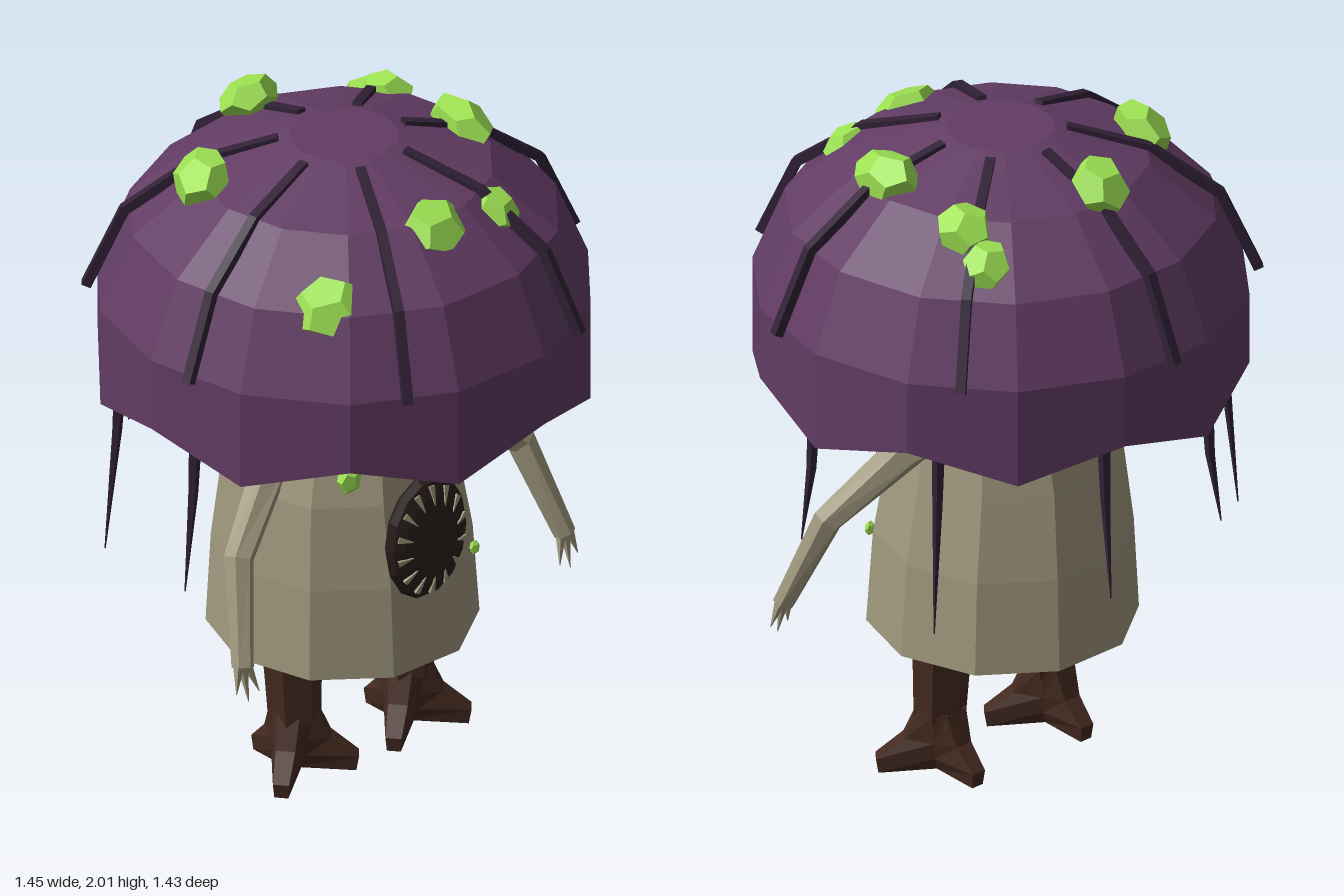
import * as THREE from 'three';

const V = (x, y, z) => new THREE.Vector3(x, y, z);
const mat = (name, color, side = THREE.FrontSide) => {
  const m = new THREE.MeshStandardMaterial({ color, flatShading: true, side });
  m.name = name;
  return m;
};

// Skin a stack of equal-sized rings; optionally close both ends
function loft(rings, closed = true) {
  const n = rings[0].length, pos = [];
  const tri = (...p) => p.forEach((q) => pos.push(q.x, q.y, q.z));
  const mid = (r) => r.reduce((s, p) => s.add(p), V(0, 0, 0)).divideScalar(n);
  const first = rings[0], last = rings[rings.length - 1];
  const c0 = mid(first), c1 = mid(last);
  for (let i = 0; i < n; i++) {
    const j = (i + 1) % n;
    for (let k = 0; k + 1 < rings.length; k++) {
      const a = rings[k], b = rings[k + 1];
      tri(a[i], b[i], a[j]);
      tri(a[j], b[i], b[j]);
    }
    if (closed) {
      tri(c0, first[i], first[j]);
      tri(c1, last[j], last[i]);
    }
  }
  const g = new THREE.BufferGeometry();
  g.setAttribute('position', new THREE.Float32BufferAttribute(pos, 3));
  g.computeVertexNormals();
  return g;
}

// Horizontal regular ring around (cx, cz)
const ring = (n, r, y, cx = 0, cz = 0) => Array.from({ length: n }, (_, i) => {
  const a = (i / n) * Math.PI * 2;
  return V(cx + r * Math.cos(a), typeof y === 'function' ? y(i) : y, cz + r * Math.sin(a));
});

// Tapered limb along a path
function limb(path, radii, sides, ref = V(0, 0, 1)) {
  return loft(path.map((p, k) => {
    const t = path[Math.min(k + 1, path.length - 1)].clone().sub(path[Math.max(k - 1, 0)]).normalize();
    const u = ref.clone().cross(t).normalize(), v = u.clone().cross(t);
    return Array.from({ length: sides }, (_, i) => {
      const a = ((i + 0.5) / sides) * Math.PI * 2;
      return p.clone().addScaledVector(u, radii[k] * Math.cos(a)).addScaledVector(v, radii[k] * Math.sin(a));
    });
  }));
}

export function createModel() {
  const model = new THREE.Group();
  model.name = 'mushroomCreature';
  const purple = mat('capPurple', 0x623c64, THREE.DoubleSide);
  const dark = mat('ribDark', 0x312136);
  const under = mat('underBlack', 0x1d1714, THREE.DoubleSide);
  const skin = mat('stemBeige', 0xa0987e);
  const green = mat('crystalGreen', 0x9de252);
  const brown = mat('legBrown', 0x442a20);
  const maw = mat('mouthDark', 0x2a1e1c);
  const add = (name, geo, material) => {
    const m = new THREE.Mesh(geo, material);
    m.name = name;
    model.add(m);
    return m;
  };
  const CX = -0.008, CZ = 0.023;

  // Cap with a scalloped rim
  const rim = (i) => (i % 2 ? 1.28 : 1.2);
  const capRings = [[0.709, rim], [0.709, 1.5], [0.615, 1.73], [0.425, 1.89], [0.155, 1.975]]
    .map(([r, y]) => ring(14, r, y, CX, CZ));
  add('cap', loft(capRings, false), purple);
  const crown = new THREE.CircleGeometry(0.155, 14).rotateX(-Math.PI / 2).translate(CX, 1.975, CZ);
  add('capTop', crown, purple);
  const gills = new THREE.CircleGeometry(0.685, 14).rotateX(Math.PI / 2).translate(CX, 1.325, CZ);
  add('capUnderside', gills, under);

  // Seven ribs running down the cap
  for (let k = 0; k < 7; k++) {
    const a = -Math.PI / 2 + (k / 7) * Math.PI * 2, c = Math.cos(a), s = Math.sin(a);
    const path = [[0.185, 1.962], [0.42, 1.892], [0.62, 1.742], [0.728, 1.5]]
      .map(([r, y]) => V(CX + r * c, y, CZ + r * s));
    add('capRib', limb(path, [0.02, 0.02, 0.02, 0.02], 4, V(c, 0, s)), dark);
  }

  // Crystals on the cap: position, width, depth, thickness, spin
  [
    [-0.03, 1.93, -0.37, 0.09, 0.095, 0.065, 0],
    [0.37, 1.8, -0.33, 0.08, 0.072, 0.06, 0.6],
    [0.355, 1.87, -0.22, 0.08, 0.085, 0.065, 0.3],
    [0.36, 1.918, 0.1, 0.08, 0.12, 0.065, 0],
    [0.205, 1.83, 0.435, 0.074, 0.078, 0.055, 0.4],
    [-0.03, 1.86, 0.44, 0.108, 0.092, 0.06, 0],
    [-0.4, 1.73, 0.42, 0.112, 0.095, 0.06, -0.5],
    [-0.39, 1.9, -0.15, 0.09, 0.11, 0.065, -0.4],
  ].forEach(([x, y, z, w, d, h, spin]) => {
    const m = add('capCrystal', new THREE.DodecahedronGeometry(1), green);
    m.position.set(x, y, z);
    m.scale.set(w, h, d);
    const tilt = new THREE.Quaternion().setFromUnitVectors(V(0, 1, 0), V(x, 0.44, z - CZ).normalize());
    m.quaternion.copy(tilt).multiply(new THREE.Quaternion().setFromAxisAngle(V(0, 1, 0), spin));
  });

  // Hanging tendrils: tip x, y, z
  [
    [0.57, 0.7, -0.33], [0.665, 0.86, 0.12], [0.16, 0.78, -0.62],
    [-0.27, 0.87, -0.61], [-0.6, 0.7, -0.32], [-0.675, 0.78, 0.12],
  ].forEach(([x, y, z]) => {
    const path = [V(x * 0.93, 1.34, z * 0.93), V(x * 0.95, 1.08, z * 0.95), V(x, y, z)];
    add('tendril', limb(path, [0.022, 0.015, 0.002], 5), dark);
  });

  // Stem body
  const bodyRings = [[0.387, 0.42, -0.015], [0.37, 0.7, -0.018], [0.333, 0.95, -0.026], [0.297, 1.1, -0.018],
    [0.27, 1.27, -0.015], [0.255, 1.335, -0.015]].map(([r, y, cx]) => ring(10, r, y, cx, 0.024));
  add('body', loft(bodyRings), skin);

  // Round mouth with inward-pointing teeth
  const mouth = add('mouth', new THREE.SphereGeometry(1, 14, 8).rotateX(Math.PI / 2), maw);
  mouth.position.set(-0.008, 0.83, 0.38);
  mouth.scale.set(0.145, 0.198, 0.05);
  for (let i = 0; i < 14; i++) {
    const a = ((i + 0.5) / 14) * Math.PI * 2;
    const at = (r, z) => V(-0.008 + 0.142 * r * Math.cos(a), 0.83 + 0.198 * r * Math.sin(a), z);
    add('tooth', limb([at(0.86, 0.402), at(0.58, 0.425)], [0.013, 0.001], 4), skin);
  }

  // Small growths on the body
  [[0.155, 1.185, 0.3, 0.045, 0.055], [-0.21, 1.045, 0.285, 0.038, 0.048], [0.235, 0.67, 0.305, 0.016, 0.023]]
    .forEach(([x, y, z, w, h]) => {
      const m = add('bodyCrystal', new THREE.DodecahedronGeometry(1), green);
      m.position.set(x, y, z);
      m.scale.set(w, h, w * 0.8);
    });

  for (const s of [-1, 1]) {
    const side = s > 0 ? 'left' : 'right';

    // Bent arm and three claw fingers
    const arm = [V(s * 0.25, 1.08, 0.03), V(s * 0.32, 1.035, 0.07), V(s * 0.52, 0.85, 0.17), V(s * 0.593, 0.57, 0.275)];
    add(side + 'Arm', limb(arm, [0.06, 0.056, 0.044, 0.032], 6), skin);
    [[0.553, 0.49, 0.3], [0.592, 0.47, 0.3], [0.628, 0.5, 0.29]].forEach(([x, y, z]) => {
      const base = V(s * (0.593 + (x - 0.592) * 0.3), 0.585, 0.272);
      add(side + 'Finger', limb([base, V(s * x, y, z)], [0.018, 0.001], 4), skin);
    });

    // Leg flowing into two front toes and one back toe, arched between them
    const legX = s * 0.207, legZ = 0.03;
    const toes = [[0.71, 0.19], [2.43, 0.19], [4.71, 0.15]];
    const star = (y, reach, inner, halfWidth, lift = 0) => toes.flatMap(([a, len], k) => {
      const next = toes[(k + 1) % 3][0] + (k === 2 ? Math.PI * 2 : 0);
      const at = (ang, r, off = 0, dy = 0) => V(
        legX + r * Math.cos(ang) - off * Math.sin(ang), y + dy, legZ + r * Math.sin(ang) + off * Math.cos(ang));
      return [at(a, len * reach, -halfWidth), at(a, len * reach, halfWidth), at((a + next) / 2, inner, 0, lift)];
    });
    add(side + 'Foot', loft([
      star(0, 0.96, 0.045, 0.02, 0.022),
      star(0.045, 1, 0.06, 0.023, 0.015),
      star(0.11, 0.58, 0.066, 0.028),
      star(0.2, 0.36, 0.066, 0.034),
    ]), brown);
    add(side + 'Leg', limb([V(legX, 0.17, legZ + 0.013), V(legX, 0.3, legZ + 0.007), V(legX, 0.45, legZ)],
      [0.076, 0.082, 0.09], 6), brown);
  }
  return model;
}
